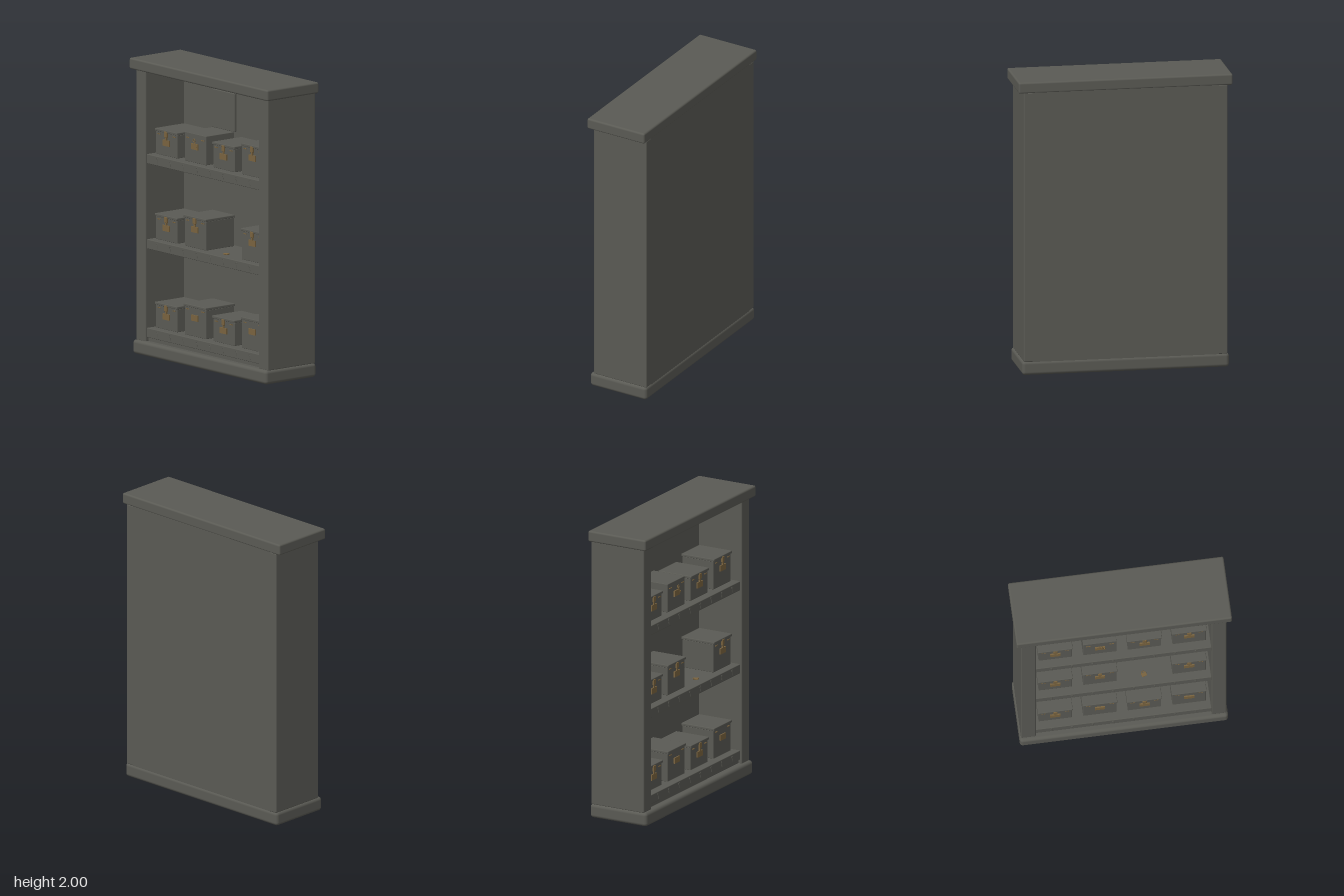
import * as THREE from 'three';
import { RoundedBoxGeometry } from 'three/addons/geometries/RoundedBoxGeometry.js';

const wood = new THREE.MeshStandardMaterial({ name: 'dark grey wood', color: 0x5a5a54 });
const brass = new THREE.MeshStandardMaterial({ name: 'aged brass', color: 0x79633f });

function add(parent, name, geometry, material, x = 0, y = 0, z = 0) {
  const mesh = new THREE.Mesh(geometry, material);
  mesh.name = name;
  mesh.position.set(x, y, z);
  parent.add(mesh);
  return mesh;
}

// Block given by its limits on each axis; r rounds the edges
function block(parent, name, material, [x0, x1], [y0, y1], [z0, z1], r = 0) {
  const size = [x1 - x0, y1 - y0, z1 - z0];
  const geometry = r ? new RoundedBoxGeometry(...size, 3, r) : new THREE.BoxGeometry(...size);
  return add(parent, name, geometry, material, (x0 + x1) / 2, (y0 + y1) / 2, (z0 + z1) / 2);
}

// Small bent hook for the shelf edges
function hookGeometry() {
  const points = [[0.004, -0.018], [0, 0.006], [-0.007, 0.008], [-0.006, 0.017], [0.003, 0.018], [0.008, 0.011]]
    .map(([x, y]) => new THREE.Vector3(x, y, 0));
  return new THREE.TubeGeometry(new THREE.CatmullRomCurve3(points), 14, 0.0028, 5);
}

// Storage box with its floor at y = 0
function storageBox(height, { open = false, strap = true } = {}) {
  const box = new THREE.Group();
  box.name = open ? 'openBox' : 'storageBox';
  const lidBottom = open ? height : height - 0.018;
  const front = 0.122;
  block(box, 'boxBody', wood, [-0.112, 0.112], [0, lidBottom], [-0.12, front], 0.003);
  if (open) {
    block(box, 'raisedLid', wood, [-0.117, 0.117], [height, height + 0.258], [-0.137, -0.119], 0.003);
  } else {
    block(box, 'lid', wood, [-0.117, 0.117], [lidBottom, height], [-0.125, 0.13], 0.004);
  }

  // Lock plate, clasp and rivets
  const plateTop = height - 0.066;
  block(box, 'lockPlate', brass, [-0.034, 0.034], [plateTop - 0.04, plateTop], [front, front + 0.009]);
  if (strap && !open) {
    block(box, 'claspStrap', brass, [-0.014, 0.014], [height - 0.048, height - 0.008], [front, 0.135], 0.003);
    block(box, 'claspPin', brass, [-0.006, 0.006], [plateTop - 0.002, height - 0.044], [front, front + 0.01]);
  }
  for (const side of [-1, 1]) {
    for (const x of [0.07, 0.087]) {
      block(box, 'rivet', brass, [side * x - 0.006, side * x + 0.006],
        [height - 0.037, height - 0.031], [front, front + 0.004]);
    }
  }
  if (open) {
    // Key hanging in the lock
    const key = new THREE.Group();
    key.name = 'key';
    add(key, 'keyRing', new THREE.TorusGeometry(0.011, 0.003, 6, 14), brass, 0, 0.022, 0);
    block(key, 'keyShaft', brass, [-0.003, 0.003], [-0.03, 0.012], [-0.003, 0.003]);
    block(key, 'keyBit', brass, [0, 0.01], [-0.03, -0.02], [-0.003, 0.003]);
    key.position.set(0.014, height - 0.062, front + 0.014);
    key.rotation.z = 0.5;
    box.add(key);
  }
  return box;
}

export function createModel() {
  const model = new THREE.Group();
  model.name = 'bookcase';

  // Carcass
  block(model, 'topCap', wood, [-0.722, 0.722], [1.925, 2], [-0.222, 0.222], 0.012);
  block(model, 'plinth', wood, [-0.698, 0.698], [0, 0.095], [-0.222, 0.215], 0.022);
  for (const side of [-1, 1]) {
    const x = side * 0.638;
    block(model, side > 0 ? 'leftSide' : 'rightSide', wood, [x - 0.05, x + 0.05], [0.09, 1.93], [-0.219, 0.19], 0.008);
  }
  block(model, 'backPanel', wood, [-0.63, 0.63], [0.09, 1.93], [-0.219, -0.14]);
  block(model, 'kickBoard', wood, [-0.59, 0.59], [0.09, 0.126], [-0.14, 0.165]);

  // Shelves with hooks along the front edge
  const shelves = [0.185, 0.785, 1.362];
  const hook = hookGeometry();
  for (const top of shelves) {
    block(model, 'shelf', wood, [-0.59, 0.59], [top - 0.064, top], [-0.145, 0.178], 0.004);
    for (let i = 0; i < 8; i++) {
      add(model, 'shelfHook', hook, wood, -0.482 + i * 0.138, top - 0.032, 0.179);
    }
  }

  // Boxes by shelf and column; null leaves a gap
  const low = 0.174, tall = 0.212;
  const rows = [
    [[low], [tall, { strap: false }], [low], [tall, { strap: false }]],
    [[low], [tall], null, [tall]],
    [[low], [0.196, { open: true }], [low], [tall]],
  ];
  rows.forEach((row, r) => row.forEach((spec, c) => {
    if (!spec) return;
    const box = storageBox(...spec);
    box.position.set(-0.45 + c * 0.299, shelves[r], 0);
    model.add(box);
  }));

  // Loose padlock lying in the empty place
  const padlock = new THREE.Group();
  padlock.name = 'loosePadlock';
  block(padlock, 'padlockBody', brass, [-0.018, 0.018], [0, 0.009], [-0.012, 0.016], 0.003);
  const shackle = add(padlock, 'shackle', new THREE.TorusGeometry(0.011, 0.003, 6, 12, Math.PI), brass, 0, 0.005, -0.012);
  shackle.rotation.x = -Math.PI / 2;
  padlock.position.set(0.147, shelves[1], 0.1);
  padlock.rotation.y = 0.3;
  model.add(padlock);

  return model;
}
